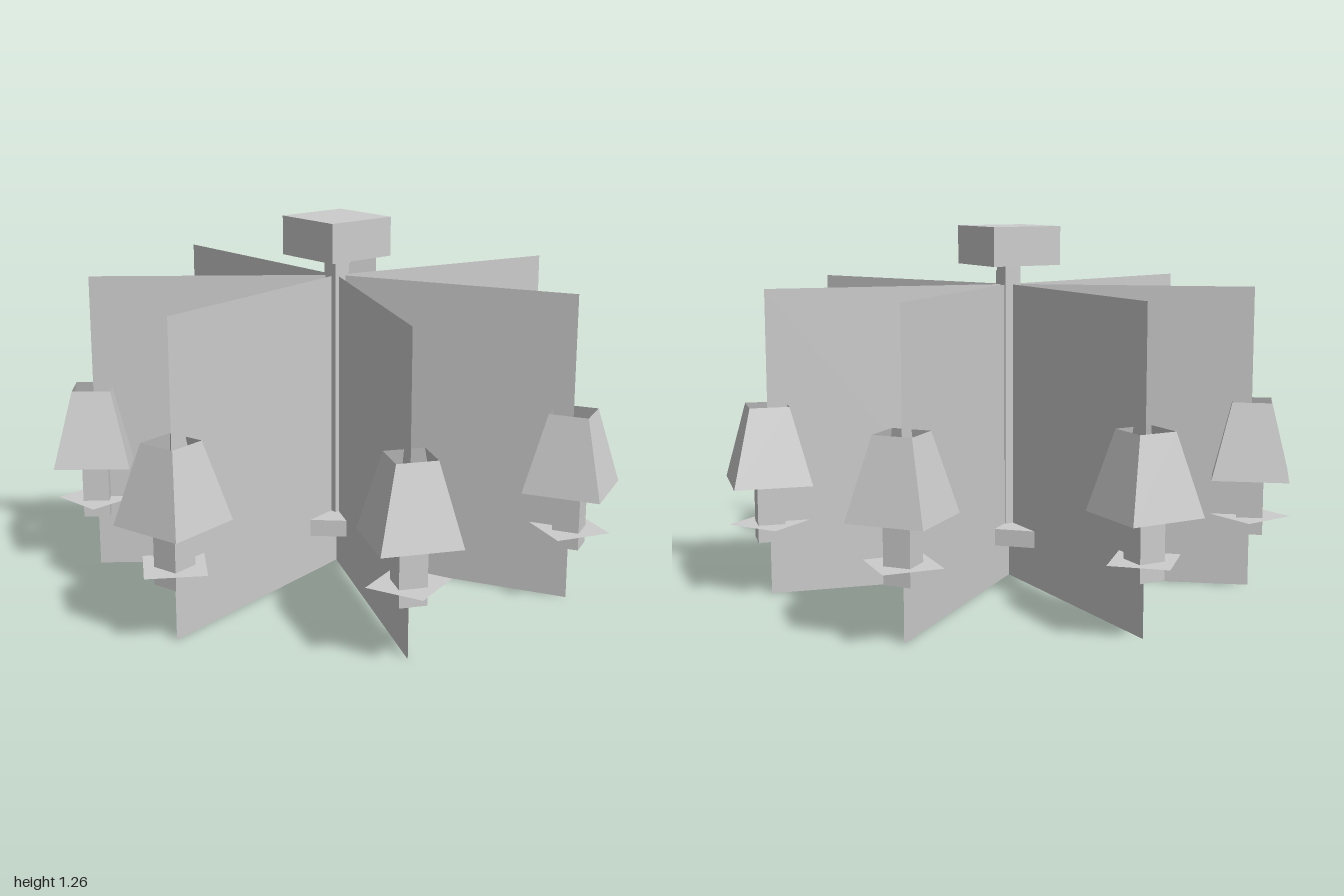
import * as THREE from 'three';

const ARMS = 7;
const RADIUS = 0.86;
const CENTRE_Z = 0.025;

export function createModel() {
  const model = new THREE.Group();
  model.name = 'chandelier';

  const grey = new THREE.MeshStandardMaterial({ color: 0xcccccc, side: THREE.DoubleSide });
  grey.name = 'grey';

  const body = new THREE.Group();
  body.name = 'body';
  body.position.z = CENTRE_Z;
  model.add(body);

  function add(parent, name, geometry, y, z = 0) {
    const mesh = new THREE.Mesh(geometry, grey);
    mesh.name = name;
    mesh.position.set(0, y, z);
    parent.add(mesh);
    return mesh;
  }

  // Box given by its width, depth and the heights of its bottom and top
  function addBox(parent, name, size, y0, y1, z = 0) {
    return add(parent, name, new THREE.BoxGeometry(size, y1 - y0, size), (y0 + y1) / 2, z);
  }

  // Centre: ceiling mount, stem and a turned square hub at the bottom
  addBox(body, 'ceilingMount', 0.264, 1.13, 1.265);
  addBox(body, 'stem', 0.06, 0.17, 1.13);
  addBox(body, 'hub', 0.185 * Math.SQRT2, 0.14, 0.2).rotation.y = Math.PI / 4;

  // Thin upright arm panel reaching outward along +z
  const panelGeometry = new THREE.PlaneGeometry(RADIUS, 1.06).rotateY(-Math.PI / 2);

  // Open four-sided lamp shade with flat faces
  const shadeGeometry = new THREE.CylinderGeometry(
    0.067 * Math.SQRT2, 0.132 * Math.SQRT2, 0.265, 4, 1, true
  ).rotateY(Math.PI / 4).toNonIndexed();
  shadeGeometry.computeVertexNormals();

  // Flat drip dish, set diagonally to the candle
  const dishSide = 0.14 * Math.SQRT2;
  const dishGeometry = new THREE.PlaneGeometry(dishSide, dishSide)
    .rotateX(-Math.PI / 2).rotateY(Math.PI / 4);

  // Seven arms, the first pointing straight back
  for (let i = 0; i < ARMS; i++) {
    const arm = new THREE.Group();
    arm.name = 'arm' + (i + 1);
    arm.rotation.y = Math.PI + (i * 2 * Math.PI) / ARMS;
    body.add(arm);

    add(arm, 'armPanel', panelGeometry, 0.53, RADIUS / 2);
    addBox(arm, 'candle', 0.092, 0.195, 0.45, RADIUS);
    add(arm, 'dripDish', dishGeometry, 0.255, RADIUS);
    add(arm, 'lampShade', shadeGeometry, 0.5325, RADIUS);
  }

  return model;
}
